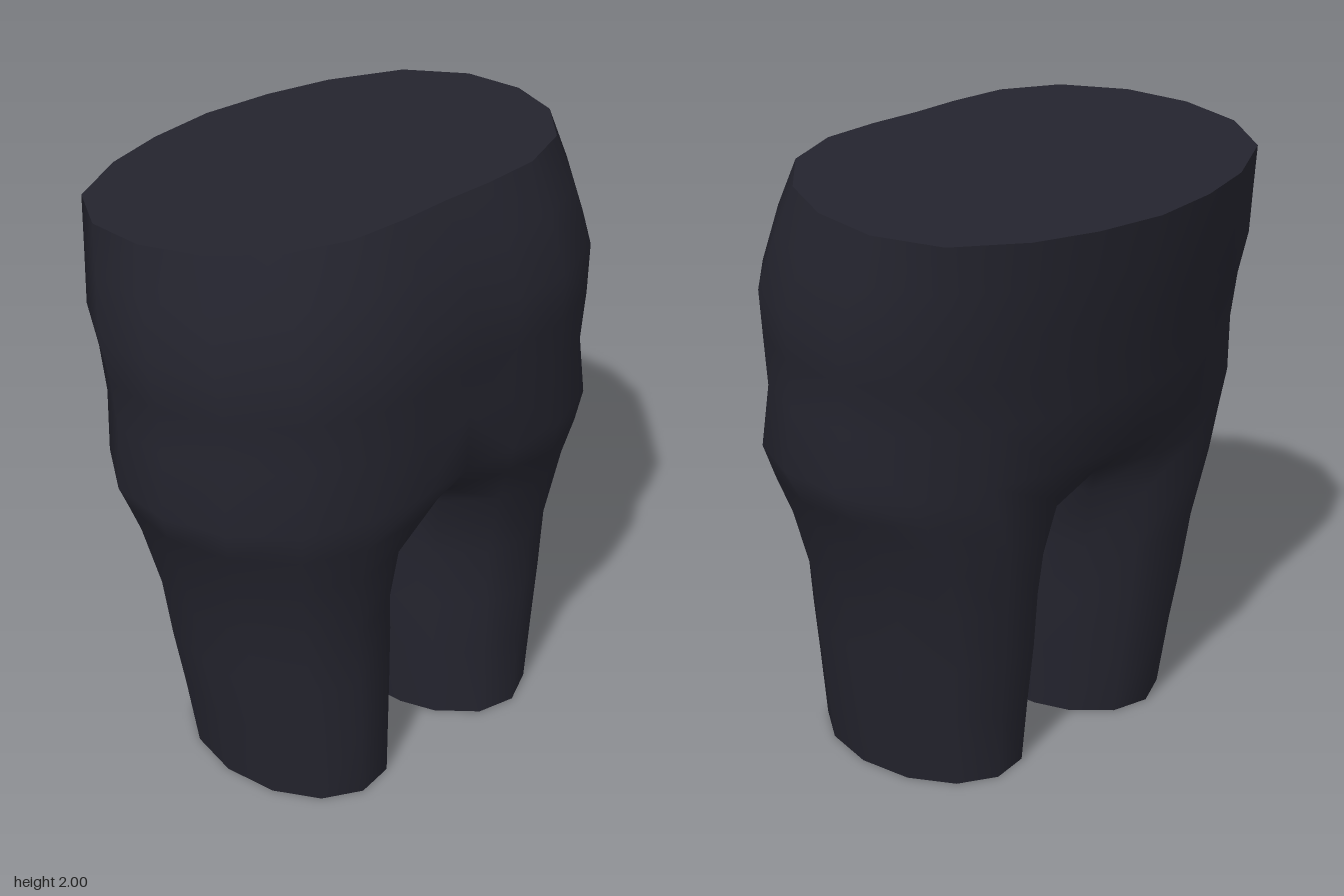
import * as THREE from 'three';
import { mergeVertices } from 'three/addons/utils/BufferGeometryUtils.js';

// Half outline of the torso, front centre to back centre, in unit size
const TORSO = [[0, 0.99], [0.22, 1], [0.47, 0.98], [0.72, 0.83], [0.91, 0.52], [1, 0.15],
  [0.99, -0.25], [0.85, -0.61], [0.57, -0.84], [0.3, -0.95], [0, -1]];
const OUTER = TORSO.length;
const LOOP = OUTER + 3; // three more points close the inside of each leg

// Cross-sections: y, outer x, inner x, front z, back z, tilt, leg blend (0 torso, 1 leg)
const SECTIONS = [
  [1.965, 0.79, 0, 0.47, -0.605, 0.075, 0],
  [1.81, 0.82, 0, 0.54, -0.582, 0.06, 0],
  [1.63, 0.856, 0, 0.597, -0.55, 0.04, 0],
  [1.48, 0.835, 0, 0.603, -0.52, 0.02, 0],
  [1.32, 0.825, 0, 0.59, -0.495, 0, 0],
  [1.12, 0.85, 0, 0.598, -0.465, 0, 0.06],
  [1.01, 0.805, 0, 0.575, -0.43, 0, 0.45],
  [0.88, 0.75, 0.006, 0.54, -0.4, 0, 0.85],
  [0.65, 0.685, 0.022, 0.505, -0.355, 0, 1],
  [0.45, 0.662, 0.022, 0.505, -0.33, 0, 1],
  [0.25, 0.632, 0.032, 0.503, -0.3, 0, 1],
  [0, 0.597, 0.048, 0.5, -0.27, 0, 1],
];
const CROTCH = 6; // section where the two legs meet

function sectionPoints([y, outX, inX, front, back, tilt, t], level) {
  const cz = (front + back) / 2, rz = (front - back) / 2;
  const cx = (outX + inX) / 2, rx = (outX - inX) / 2;
  const points = [];
  for (let i = 0; i < LOOP; i++) {
    const inner = i >= OUTER;
    const deg = inner ? 230 + (i - OUTER + 1) * 20 : -50 + i * 28;
    const a = THREE.MathUtils.degToRad(deg);
    const legX = cx + rx * Math.sin(a), legZ = cz + rz * Math.cos(a);
    const torso = inner ? [0, Math.cos(a)] : TORSO[i];
    let x = THREE.MathUtils.lerp(torso[0] * outX, legX, t);
    const z = THREE.MathUtils.lerp(cz + torso[1] * rz, legZ, t);
    const onCentre = inner || i === 0 || i === OUTER - 1;
    if (level <= CROTCH && onCentre) x = 0;
    const drop = level === CROTCH && inner ? 0.04 : 0;
    points.push(new THREE.Vector3(x, y + tilt * z - drop, z));
  }
  return points;
}

function createModel() {
  const fabric = new THREE.MeshStandardMaterial({ color: 0x24242e, side: THREE.DoubleSide });
  fabric.name = 'dark fabric';
  const rings = SECTIONS.map(sectionPoints);

  // Collects triangles for one side and its mirror image
  const build = (triangles) => {
    const positions = [];
    for (const [a, b, c] of triangles) {
      for (const p of [a, b, c]) positions.push(p.x, p.y, p.z);
      for (const p of [a, c, b]) positions.push(p.x === 0 ? 0 : -p.x, p.y, p.z);
    }
    let geometry = new THREE.BufferGeometry();
    geometry.setAttribute('position', new THREE.Float32BufferAttribute(positions, 3));
    geometry = mergeVertices(geometry, 1e-4);
    geometry.computeVertexNormals();
    return geometry;
  };

  // Hips and open-ended legs as one smooth skin
  const skin = [];
  for (let r = 0; r < rings.length - 1; r++) {
    const count = r < CROTCH ? OUTER - 1 : LOOP;
    for (let i = 0; i < count; i++) {
      const j = (i + 1) % LOOP;
      const a = rings[r][i], b = rings[r][j], c = rings[r + 1][i], d = rings[r + 1][j];
      skin.push([a, c, d], [a, d, b]);
    }
  }
  const trousers = new THREE.Mesh(build(skin), fabric);
  trousers.name = 'hipsAndLegs';

  // Flat sloping lid over the waist
  const lid = [];
  const centre = new THREE.Vector3(0, SECTIONS[0][0], 0);
  for (let i = 0; i < OUTER - 1; i++) lid.push([centre, rings[0][i], rings[0][i + 1]]);
  const waist = new THREE.Mesh(build(lid), fabric);
  waist.name = 'waistLid';

  const group = new THREE.Group();
  group.name = 'shorts';
  group.add(trousers, waist);
  return group;
}

export { createModel };
